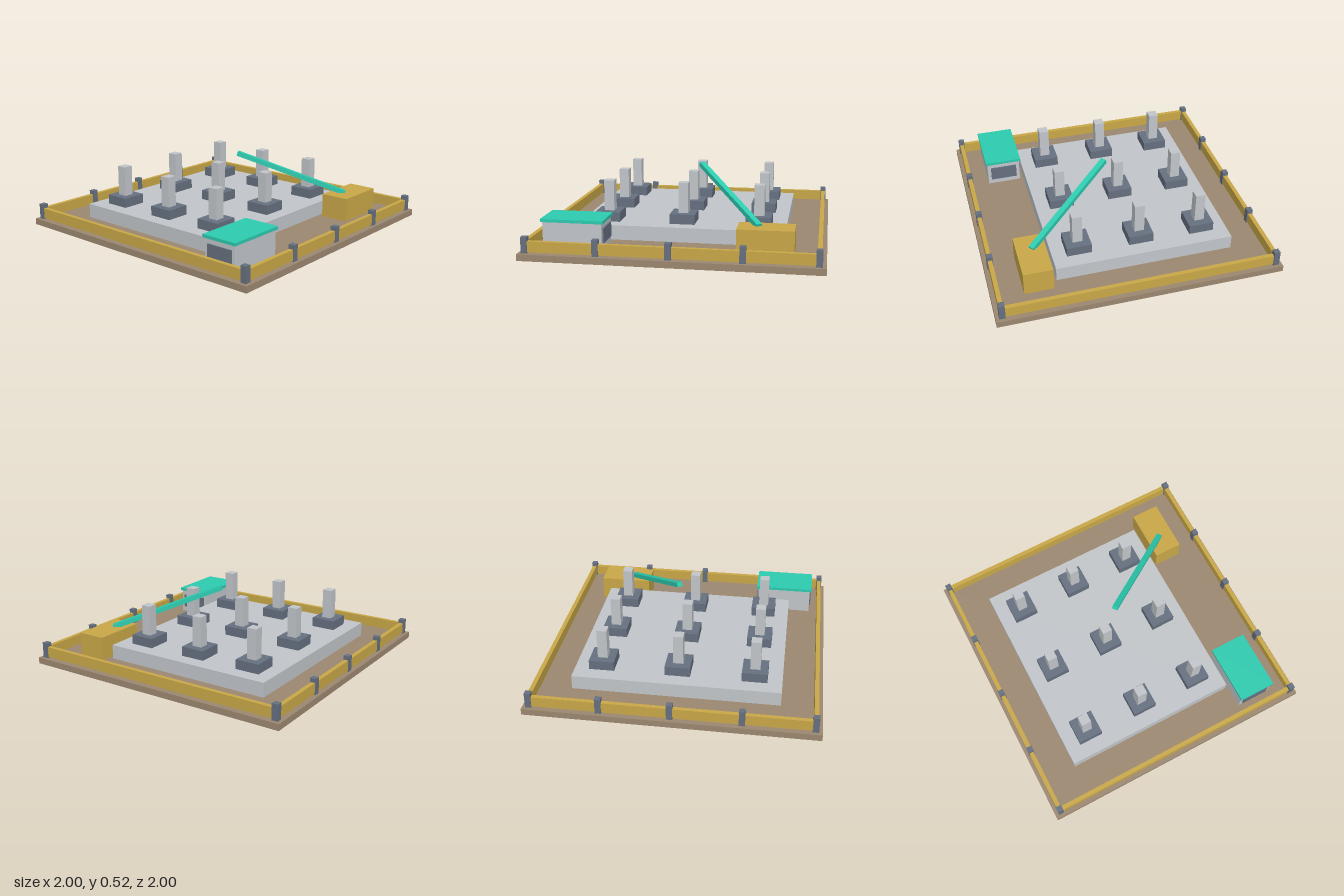
import * as THREE from 'three';

const mat = (name, color) => {
  const m = new THREE.MeshStandardMaterial({ color });
  m.name = name;
  return m;
};

export function createModel() {
  const model = new THREE.Group();
  model.name = 'constructionSite';
  const earth = mat('earth', 0x9c8870);
  const concrete = mat('concrete', 0xc2c6ca);
  const slate = mat('slate', 0x667080);
  const yellow = mat('yellow', 0xc9a848);
  const teal = mat('teal', 0x2dcbb0);

  // Box given by its minimum and maximum on each axis
  const box = (name, material, [x0, x1], [y0, y1], [z0, z1], parent = model) => {
    const mesh = new THREE.Mesh(new THREE.BoxGeometry(x1 - x0, y1 - y0, z1 - z0), material);
    mesh.position.set((x0 + x1) / 2, (y0 + y1) / 2, (z0 + z1) / 2);
    mesh.name = name;
    parent.add(mesh);
    return mesh;
  };
  const around = (c, half) => [c - half, c + half];
  const group = (name) => {
    const g = new THREE.Group();
    g.name = name;
    model.add(g);
    return g;
  };
  const groundY = 0.045;

  // Ground and foundation slab
  box('ground', earth, [-1, 1], [0, groundY], [-1, 1]);
  box('foundationSlab', concrete, [-0.72, 0.72], [groundY, 0.147], [-0.72, 0.542]);

  // Grid of footings with columns
  const columns = group('columns');
  for (const x of [-0.53, 0, 0.53]) {
    for (const z of [-0.53, -0.088, 0.354]) {
      box('footing', slate, around(x, 0.088), [0.147, 0.215], around(z, 0.088), columns);
      box('column', concrete, around(x, 0.035), [0.215, 0.43], around(z, 0.035), columns);
    }
  }

  // Perimeter fence: rails on four sides, posts along front and back
  const fence = group('fence');
  for (const s of [-1, 1]) {
    const edge = around(s * 0.955, 0.015);
    box('fenceRail', yellow, [-0.955, 0.955], [0.053, 0.127], edge, fence);
    box('fenceSideRail', yellow, edge, [0.053, 0.127], [-0.94, 0.94], fence);
    for (const x of [-0.955, -0.478, 0, 0.478, 0.955]) {
      box('fencePost', slate, around(x, 0.021), [groundY, 0.156], around(s * 0.955, 0.021), fence);
    }
  }

  // Site office with end panels and an overhanging roof
  const office = group('siteOffice');
  box('officeBody', concrete, [-0.88, -0.475], [groundY, 0.222], [0.567, 0.812], office);
  for (const x of [-0.885, -0.47]) {
    box('officeEndPanel', slate, around(x, 0.0045), [0.085, 0.187], [0.592, 0.787], office);
  }
  box('officeRoof', teal, [-0.892, -0.463], [0.222, 0.243], [0.556, 0.823], office);

  // Machine body with a sloping boom
  box('machineBody', yellow, [0.413, 0.792], [groundY, 0.215], [0.573, 0.778]);
  const foot = new THREE.Vector3(0.553, 0.215, 0.673);
  const tip = new THREE.Vector3(0.078, 0.503, 0.033);
  const boom = new THREE.Mesh(new THREE.BoxGeometry(0.041, 0.033, foot.distanceTo(tip)), teal);
  boom.name = 'boom';
  boom.position.addVectors(foot, tip).multiplyScalar(0.5);
  boom.lookAt(tip);
  model.add(boom);

  return model;
}
